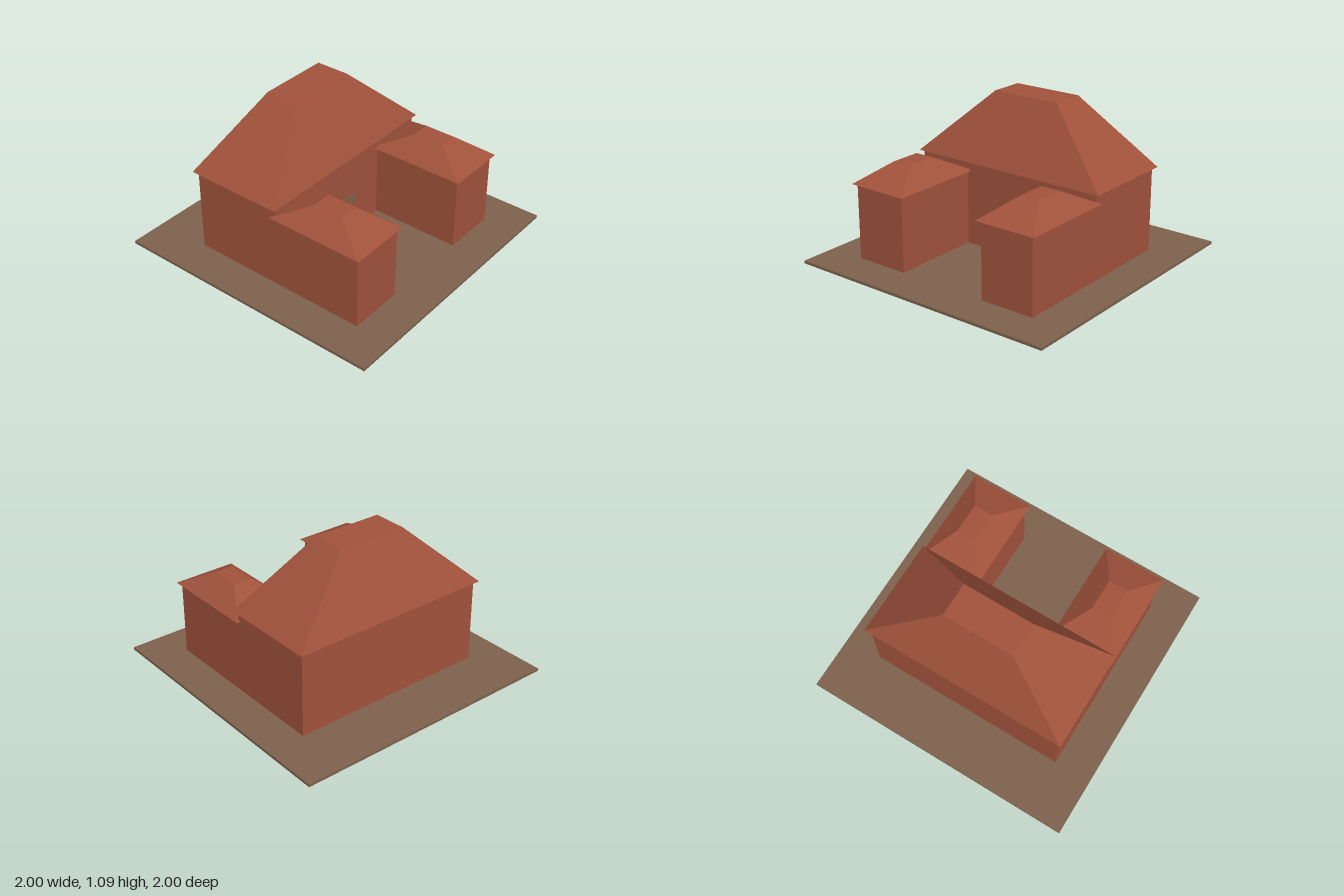
import * as THREE from 'three';

const brick = new THREE.MeshStandardMaterial({ color: 0xa0523b });
brick.name = 'brick red';
const earth = new THREE.MeshStandardMaterial({ color: 0x7d624c });
earth.name = 'earth brown';

// Box given by its lower and upper corners
function block(name, material, [x0, y0, z0], [x1, y1, z1]) {
  const geometry = new THREE.BoxGeometry(x1 - x0, y1 - y0, z1 - z0);
  const mesh = new THREE.Mesh(geometry, material);
  mesh.position.set((x0 + x1) / 2, (y0 + y1) / 2, (z0 + z1) / 2);
  mesh.name = name;
  return mesh;
}

// Flat-topped hip roof: a box whose upper corners are drawn inwards
function hipRoof(name, lower, upper, topWidth, topDepth) {
  const mesh = block(name, brick, lower, upper);
  const { width, depth } = mesh.geometry.parameters;
  const geometry = mesh.geometry.toNonIndexed();
  const p = geometry.attributes.position;
  for (let i = 0; i < p.count; i++) {
    if (p.getY(i) > 0) {
      p.setX(i, p.getX(i) * topWidth / width);
      p.setZ(i, p.getZ(i) * topDepth / depth);
    }
  }
  geometry.computeVertexNormals();
  mesh.geometry = geometry;
  return mesh;
}

export function createModel() {
  const model = new THREE.Group();
  model.name = 'house';

  // Plot and main building
  model.add(
    block('ground', earth, [-1, 0, -1], [1, 0.02, 1]),
    block('mainWalls', brick, [-0.73, 0.02, -0.597], [0.73, 0.624, 0.07]),
    hipRoof('mainRoof', [-0.757, 0.624, -0.624], [0.757, 1.09, 0.091], 0.515, 0.245),
    block('door', earth, [-0.079, 0.02, 0.068], [0.077, 0.315, 0.076]),
  );

  // Two front wings
  for (const side of [-1, 1]) {
    const wing = new THREE.Group();
    wing.name = side > 0 ? 'leftWing' : 'rightWing';
    const walls = block('wingWalls', brick, [-0.1985, 0.02, 0.07], [0.1985, 0.556, 0.732]);
    const roof = hipRoof('wingRoof', [-0.225, 0.556, 0.043], [0.225, 0.682, 0.757], 0.142, 0.224);
    wing.add(walls, roof);
    wing.position.x = side * 0.5315;
    model.add(wing);
  }
  return model;
}
